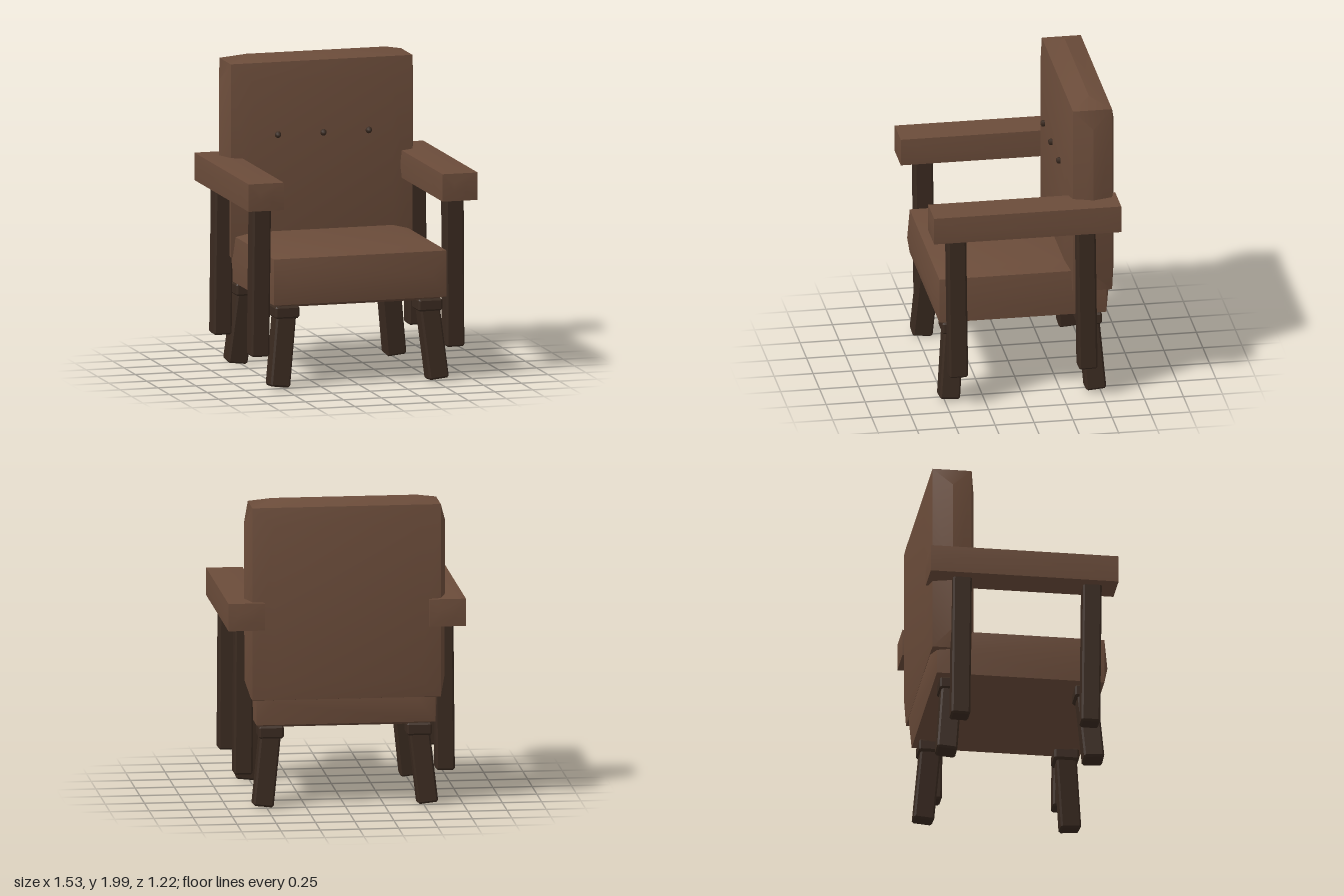
import * as THREE from 'three';
import { toCreasedNormals } from 'three/addons/utils/BufferGeometryUtils.js';
import { ConvexGeometry } from 'three/addons/geometries/ConvexGeometry.js';

const leather = new THREE.MeshStandardMaterial({ color: 0x6b4c3a });
const wood = new THREE.MeshStandardMaterial({ color: 0x3a2a20 });
leather.name = 'brown leather';
wood.name = 'dark wood';

const SIGNS = [-1, 1];

function part(parent, name, geometry, material, position) {
  const mesh = new THREE.Mesh(geometry, material);
  mesh.name = name;
  mesh.position.set(...position);
  parent.add(mesh);
  return mesh;
}

// Box whose six faces swell outwards.
// corner: half sizes at the corners, bulge: half sizes at the swollen faces,
// inset: half extent of each swollen plateau along x, y and z.
function cushion(corner, bulge, inset) {
  const points = [];
  for (const x of SIGNS) for (const y of SIGNS) for (const z of SIGNS) {
    const sign = [x, y, z];
    points.push(new THREE.Vector3(...sign.map((s, i) => s * corner[i])));
    for (let axis = 0; axis < 3; axis++) {
      points.push(new THREE.Vector3(...sign.map((s, i) => s * (i === axis ? bulge[i] : inset[i][axis]))));
    }
  }
  return toCreasedNormals(new ConvexGeometry(points), 0.5);
}

// Square post with chamfered long edges and slightly tapered ends.
function post(half, height, chamfer = 0.012) {
  const points = [];
  for (const x of SIGNS) for (const y of SIGNS) for (const z of SIGNS) {
    const h = y * height / 2;
    points.push(
      new THREE.Vector3(x * half, h - y * chamfer, z * (half - chamfer)),
      new THREE.Vector3(x * (half - chamfer), h - y * chamfer, z * half),
      new THREE.Vector3(x * (half - chamfer), h, z * (half - chamfer)),
    );
  }
  return toCreasedNormals(new ConvexGeometry(points), 0.3);
}

export function createModel() {
  const chair = new THREE.Group();
  chair.name = 'armchair';

  // inset[i][axis] is the plateau's extent along i on the face across axis
  part(chair, 'seatCushion', cushion(
    [0.57, 0.148, 0.535], [0.59, 0.178, 0.57],
    [[0, 0.46, 0.46], [0, 0, 0], [0.43, 0.44, 0]],
  ), leather, [0, 0.702, 0]);

  part(chair, 'backrest', cushion(
    [0.6, 0.62, 0.125], [0.64, 0.66, 0.158],
    [[0, 0.46, 0.46], [0.5, 0, 0.5], [0, 0, 0]],
  ), leather, [0, 1.34, -0.442]);

  // Tufting buttons
  for (const x of [-0.3, 0, 0.3]) {
    part(chair, 'button', new THREE.SphereGeometry(0.022, 6, 5), wood, [x, 1.5, -0.277]);
  }

  for (const side of SIGNS) {
    part(chair, 'armrest', cushion(
      [0.116, 0.088, 0.6], [0.126, 0.093, 0.608],
      [[0, 0.04, 0.04], [0.01, 0, 0.03], [0.38, 0.38, 0]],
    ), leather, [side * 0.64, 1.265, 0]);

    for (const end of SIGNS) {
      // Arm supports
      const z = end > 0 ? 0.437 : -0.393;
      const support = part(chair, 'armSupport', post(0.06, 0.98), wood, [side * 0.64, 0.71, z]);
      support.rotation.x = 0.012;
      support.rotation.z = side * 0.008;

      // Splayed leg with a collar under the seat
      const leg = new THREE.Group();
      leg.name = 'leg';
      leg.position.set(side * 0.472, 0.5, end * 0.432);
      const foot = new THREE.Vector3(side * 0.525, 0.022, end * 0.47);
      const down = foot.clone().sub(leg.position);
      const length = down.length();
      chair.add(leg);

      const shaft = part(leg, 'legShaft', post(0.065, length + 0.05), wood,
        down.clone().multiplyScalar((length - 0.05) / 2 / length).toArray());
      shaft.quaternion.setFromUnitVectors(new THREE.Vector3(0, -1, 0), down.clone().normalize());
      part(leg, 'legCollar', post(0.08, 0.08), wood, [0, 0, 0]);
    }
  }
  return chair;
}
